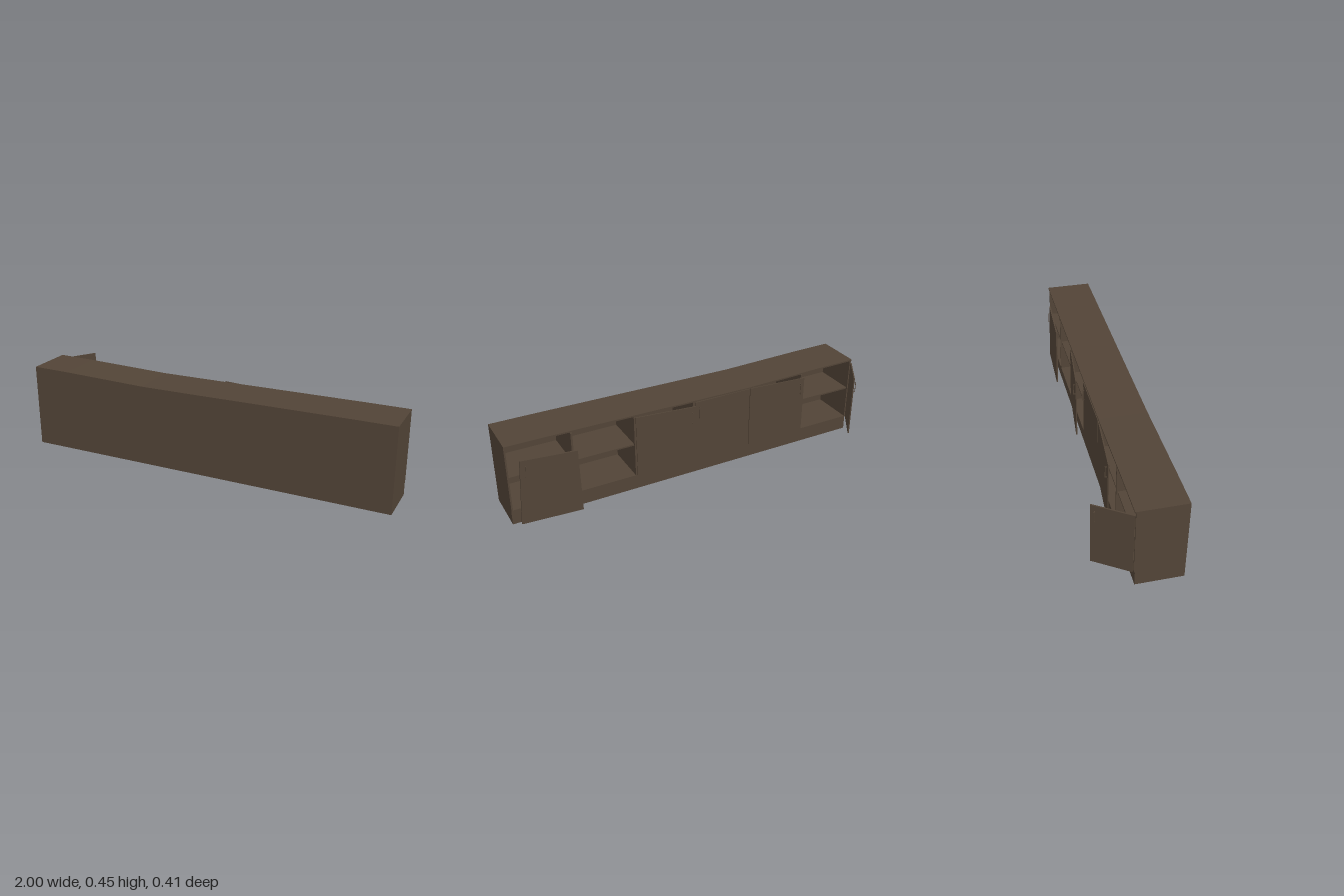
import * as THREE from 'three';

const wood = new THREE.MeshStandardMaterial({ color: 0x524437, side: THREE.DoubleSide });
wood.name = 'darkBrown';

const FRONT = 0.208, BACK = -0.035, T = 0.008;

function add(parent, name, geo, x = 0, y = 0, z = 0) {
  const m = new THREE.Mesh(geo, wood);
  m.name = name;
  m.position.set(x, y, z);
  parent.add(m);
  return m;
}

// box given by its limits
function panel(parent, name, x0, x1, y0, y1, z0, z1) {
  return add(parent, name, new THREE.BoxGeometry(x1 - x0, y1 - y0, z1 - z0),
    (x0 + x1) / 2, (y0 + y1) / 2, (z0 + z1) / 2);
}

function extrude(points, depth) {
  const shape = new THREE.Shape(points.map(p => new THREE.Vector2(p[0], p[1])));
  return new THREE.ExtrudeGeometry(shape, { depth, bevelEnabled: false });
}

// U-shaped pull: a bar on two short posts, standing out towards -z
function handle(parent, x, y, z) {
  const g = new THREE.Group();
  g.name = 'handle';
  g.position.set(x, y, z);
  panel(g, 'handleBar', -0.002, 0.002, -0.031, 0.031, -0.011, -0.008);
  for (const s of [-1, 1]) panel(g, 'handlePost', -0.002, 0.002, s * 0.0295 - 0.0015, s * 0.0295 + 0.0015, -0.009, 0);
  parent.add(g);
  return g;
}

// door turning about its hinge; side is the way it reaches from there
function door(parent, name, hingeX, side, width, angle) {
  const g = new THREE.Group();
  g.name = name;
  g.position.set(hingeX, 0, BACK);
  g.rotation.y = side * angle;
  panel(g, 'doorPanel', Math.min(0, side * width), Math.max(0, side * width), 0.09, 0.431, -0.006, 0);
  handle(g, side * (width - 0.022), 0.37, -0.006);
  parent.add(g);
}

export function createModel() {
  const model = new THREE.Group();
  model.name = 'cabinet';

  // sagging top edge
  const sag = [[-1, 0.451], [-0.8, 0.449], [-0.33, 0.438], [0, 0.441], [0.33, 0.445], [0.8, 0.45], [1, 0.451]];
  const lowered = sag.map(([x, y]) => [x, y - T]).reverse();
  add(model, 'worktop', extrude([...sag, ...lowered], FRONT - BACK + 0.002), 0, 0, BACK - 0.002);
  add(model, 'frontPanel', extrude([[1, 0.006], [-1, 0.006], ...lowered.slice().reverse()], T), 0, 0, FRONT - T);

  // end panels, notched above the plinth
  const endShape = [[-FRONT, 0.006], [0.027, 0.006], [0.027, 0.085], [-BACK - 0.003, 0.085], [-BACK - 0.003, 0.444], [-FRONT, 0.444]];
  for (const x of [-1, 1 - T]) {
    const end = add(model, 'endPanel', extrude(endShape, T), x, 0, 0);
    end.rotation.y = Math.PI / 2;
  }

  // plinth and floor; the underside stays hollow
  panel(model, 'plinth', -1 + T, 1 - T, 0.006, 0.085, -0.027, -0.019);
  panel(model, 'floor', -1 + T, 1 - T, 0.083, 0.09, -0.032, FRONT - T);

  // dividers and shelves of six bays
  const bay = 1 / 3;
  for (let i = 0; i < 6; i++) {
    const x = -1 + i * bay;
    if (i) panel(model, 'divider', x - 0.005, x + 0.005, 0.082, 0.431, -0.032, FRONT - T);
    panel(model, 'shelf', x + 0.005, x + bay - 0.005, 0.265, 0.273, -0.025, FRONT - T);
  }

  // hung doors, some ajar
  door(model, 'openDoor', -0.996, 1, 0.2, 1.0);
  door(model, 'ajarDoorRight', -0.335, -1, 0.325, 0.09);
  door(model, 'closedDoor', -0.33, 1, 0.325, 0);
  door(model, 'ajarDoorLeft', 0.33, -1, 0.322, 0.115);

  // fallen door resting on the ground, slightly warped
  const loose = new THREE.Group();
  loose.name = 'fallenDoor';
  const geo = new THREE.BoxGeometry(1, 1, 0.008);
  const bl = new THREE.Vector3(0.645, 0, -0.06), br = new THREE.Vector3(0.96, 0.006, -0.044);
  const tl = new THREE.Vector3(0.65, 0.345, -0.056), tr = new THREE.Vector3(0.935, 0.36, -0.042);
  const pos = geo.attributes.position;
  for (let i = 0; i < pos.count; i++) {
    const u = pos.getX(i) + 0.5, v = pos.getY(i) + 0.5;
    const p = bl.clone().lerp(br, u).lerp(tl.clone().lerp(tr, u), v);
    pos.setXYZ(i, p.x, p.y, p.z + pos.getZ(i));
  }
  geo.computeVertexNormals();
  add(loose, 'doorPanel', geo);
  handle(loose, 0.912, 0.295, -0.047).rotation.z = 0.07;
  model.add(loose);

  return model;
}
